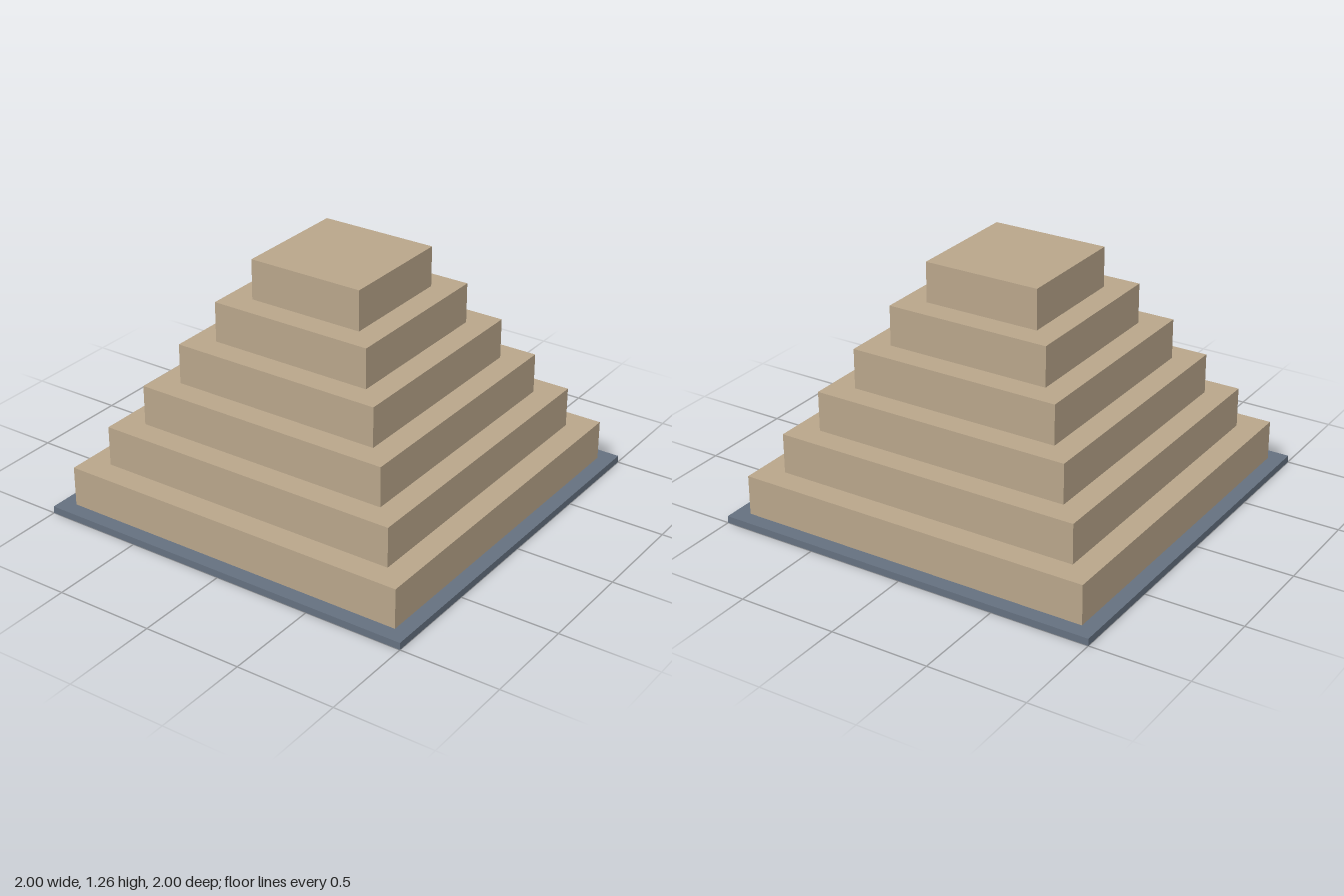
import * as THREE from 'three';

export function createModel() {
  const group = new THREE.Group();
  const sandstone = new THREE.MeshStandardMaterial({ color: 0xb8a58a });
  sandstone.name = 'sandstone';
  const slate = new THREE.MeshStandardMaterial({ color: 0x64707f });
  slate.name = 'slate';

  // Square slab standing on the given height
  function addSlab(name, width, height, bottom, material) {
    const mesh = new THREE.Mesh(new THREE.BoxGeometry(width, height, width), material);
    mesh.name = name;
    mesh.position.y = bottom + height / 2;
    group.add(mesh);
  }

  // Ground plinth
  const plinthHeight = 0.036;
  addSlab('plinth', 2, plinthHeight, 0, slate);

  // Six equal-height tiers shrinking evenly towards the top
  const tiers = 6, tierHeight = 0.204, bottomWidth = 1.846, topWidth = 0.604;
  for (let i = 0; i < tiers; i++) {
    const width = THREE.MathUtils.lerp(bottomWidth, topWidth, i / (tiers - 1));
    addSlab(`tier${i + 1}`, width, tierHeight, plinthHeight + i * tierHeight, sandstone);
  }
  return group;
}
